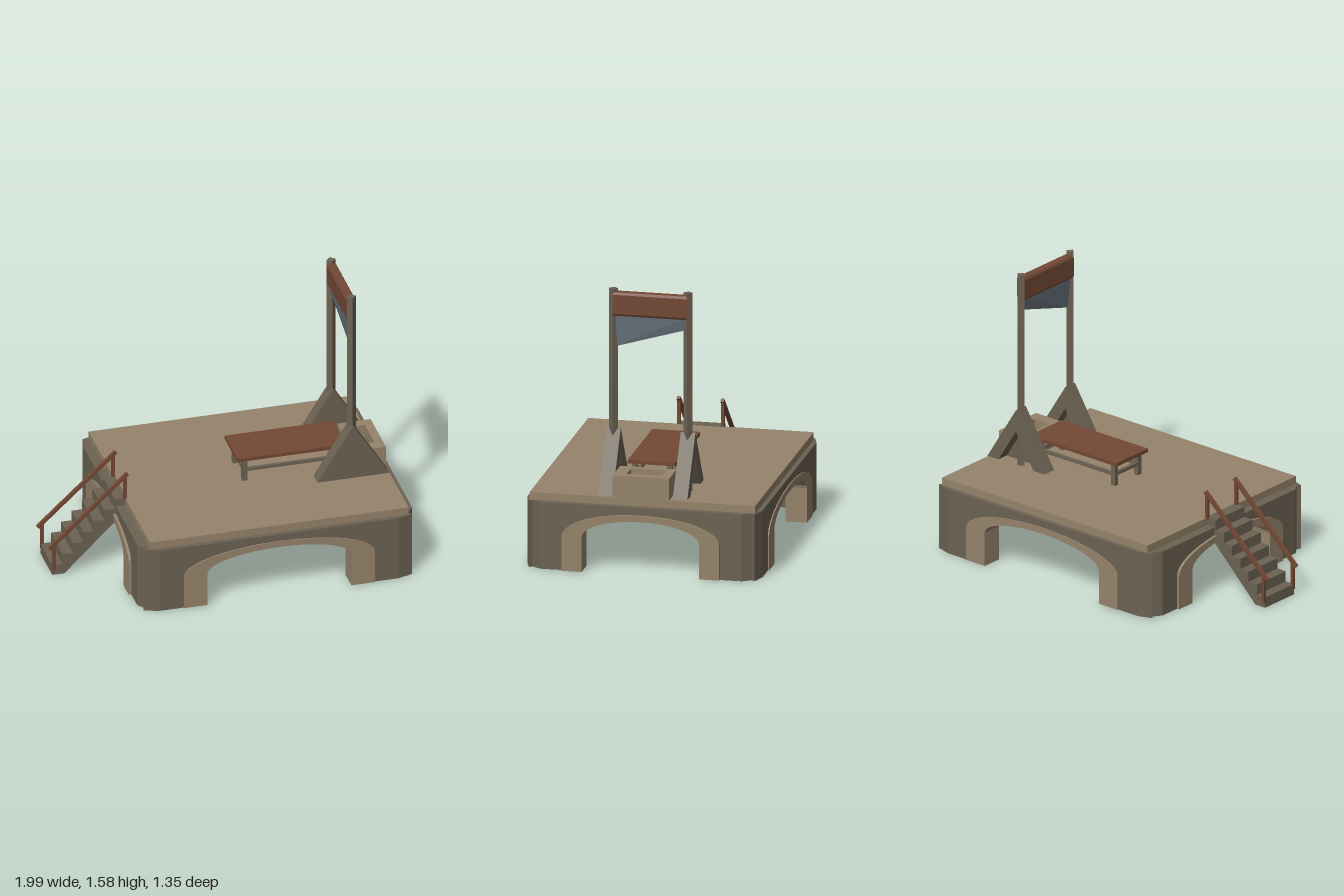
import * as THREE from 'three';

const mat = (name, color, side = THREE.FrontSide) => {
  const m = new THREE.MeshStandardMaterial({ color, side });
  m.name = name;
  return m;
};

export function createModel() {
  const root = new THREE.Group();
  root.name = 'scaffold';
  const stone = mat('grey stone', 0x6c6253);
  const tan = mat('tan stone', 0x95836b);
  const wood = mat('red wood', 0x734835);
  const steel = mat('blade steel', 0x66717a);

  const add = (parent, name, geo, material) => {
    const m = new THREE.Mesh(geo, material);
    m.name = name;
    parent.add(m);
    return m;
  };
  // box given by its extents
  const box = (parent, name, material, x0, x1, y0, y1, z0, z1) => {
    const m = add(parent, name, new THREE.BoxGeometry(x1 - x0, y1 - y0, z1 - z0), material);
    m.position.set((x0 + x1) / 2, (y0 + y1) / 2, (z0 + z1) / 2);
    return m;
  };
  const toShape = pts => new THREE.Shape(pts.map(p => new THREE.Vector2(p[0], p[1])));
  // outline in x-y, extruded from z0 to z1
  const slab = (pts, z0, z1) =>
    new THREE.ExtrudeGeometry(toShape(pts), { depth: z1 - z0, bevelEnabled: false }).translate(0, 0, z0);

  // deck
  box(root, 'deck', tan, -0.55, 0.945, 0.385, 0.43, -0.643, 0.643);

  // arch line from left foot over the crown to right foot
  const arch = (half, top, spring = 0.2) => {
    const pts = [[-half, 0]];
    for (let i = 0; i <= 20; i++) {
      const a = Math.PI * (1 - i / 20);
      pts.push([half * Math.cos(a), spring + (top - spring) * Math.sin(a)]);
    }
    pts.push([half, 0]);
    return pts;
  };

  // one arcade wall facing +z: pierced middle, bevelled ends, arch trim
  const wall = (name, o) => {
    const g = new THREE.Group();
    g.name = name;
    const inner = o.out - 0.11, H = 0.386;
    add(g, 'archedWall', slab([[-o.flat, H], [-o.flat, 0], ...arch(o.outer - 0.02, 0.338), [o.flat, 0], [o.flat, H]],
      inner, o.out), stone);
    for (const s of [-1, 1]) {
      const plan = [[s * o.flat, -o.out], [s * o.tip, -o.tipOut], [s * (o.flat + 0.01), -inner], [s * o.flat, -inner]];
      add(g, 'wallEnd', slab(plan, 0, H).rotateX(-Math.PI / 2), stone);
    }
    add(g, 'archTrim', slab([...arch(o.outer, 0.345), ...arch(o.inner, 0.31).reverse()],
      inner - 0.005, o.out + o.proud), tan);
    g.position.x = 0.19;
    g.rotation.y = o.turn;
    root.add(g);
  };
  const long = { out: 0.67, flat: 0.69, tip: 0.775, tipOut: 0.643, outer: 0.55, inner: 0.415, proud: 0.007 };
  const short = { out: 0.793, flat: 0.575, tip: 0.635, tipOut: 0.752, outer: 0.45, inner: 0.335, proud: 0.015 };
  wall('frontWall', { ...long, turn: 0 });
  wall('backWall', { ...long, turn: Math.PI });
  wall('leftWall', { ...short, turn: Math.PI / 2 });
  wall('rightWall', { ...short, turn: -Math.PI / 2 });

  // stairs
  const steps = [[-0.9, 0], [-0.55, 0.345], [-0.54, 0.431]];
  for (let i = 6; i >= 0; i--) {
    const x = -0.97 + i * 0.06, h = 0.0616;
    steps.push([x, (i + 1) * h], [x, i * h]);
  }
  add(root, 'stairs', slab(steps, -0.125, 0.125), stone);

  // handrails
  for (const s of [-1, 1]) {
    const z = s * 0.125;
    const rail = add(root, 'handrail', new THREE.BoxGeometry(Math.hypot(0.45, 0.415), 0.02, 0.02), wood);
    rail.position.set(-0.762, 0.378, z);
    rail.rotation.z = Math.atan2(0.415, 0.45);
    box(root, 'railPost', wood, -0.97, -0.952, 0.03, 0.19, z - 0.009, z + 0.009);
    box(root, 'railPost', wood, -0.56, -0.542, 0.42, 0.575, z - 0.009, z + 0.009);
  }

  // bench
  const bench = new THREE.Group();
  bench.name = 'bench';
  root.add(bench);
  box(bench, 'benchTop', wood, 0.097, 0.725, 0.565, 0.585, -0.14, 0.133);
  for (const x of [0.145, 0.69]) {
    for (const z of [-0.1, 0.1]) box(bench, 'benchLeg', stone, x - 0.014, x + 0.014, 0.43, 0.565, z - 0.014, z + 0.014);
    box(bench, 'crossRail', stone, x - 0.009, x + 0.009, 0.485, 0.505, -0.1, 0.1);
  }
  for (const z of [-0.1, 0.1]) box(bench, 'sideRail', stone, 0.145, 0.69, 0.486, 0.504, z - 0.009, z + 0.009);

  // open catch box
  const rim = toShape([[0.75, -0.17], [0.943, -0.17], [0.943, 0.152], [0.75, 0.152]]);
  rim.holes.push(new THREE.Path([[0.785, -0.1], [0.785, 0.1], [0.895, 0.1], [0.895, -0.1]].map(p => new THREE.Vector2(...p))));
  add(root, 'catchBox', new THREE.ExtrudeGeometry(rim, { depth: 0.126, bevelEnabled: false })
    .rotateX(-Math.PI / 2).translate(0, 0.43, 0), tan);

  // uprights with braced feet
  const cx = 0.732;
  for (const s of [-1, 1]) {
    const z = s * 0.213;
    const post = add(root, 'upright', new THREE.CylinderGeometry(0.026, 0.026, 1.15, 4).toNonIndexed(), stone);
    post.geometry.computeVertexNormals();
    post.position.set(cx, 1.005, z);
    const foot = [[0.525, 0.437], [0.605, 0.437], [cx, 0.64], [0.86, 0.437], [0.94, 0.437], [cx, 0.77]];
    add(root, 'footBrace', slab(foot, z - 0.042, z + 0.03), stone);
    add(root, 'footPlate', slab([[0.525, 0.437], [0.94, 0.437], [cx, 0.77]], z + 0.03, z + 0.042), stone);
  }

  // crossbeam with chamfered edges
  const beam = [[-0.027, -0.055], [-0.019, -0.068], [0.019, -0.068], [0.027, -0.055],
    [0.027, 0.055], [0.019, 0.068], [-0.019, 0.068], [-0.027, 0.055]];
  add(root, 'crossbeam', slab(beam, -0.213, 0.213), wood).position.set(cx, 1.493, 0);

  // slanted blade, tapering to its lower edge
  const blade = slab([[0.195, 1.245], [0.195, 1.43], [-0.195, 1.43], [-0.195, 1.36]], -0.016, 0.016)
    .rotateY(-Math.PI / 2);
  const p = blade.attributes.position;
  for (let i = 0; i < p.count; i++) if (p.getY(i) < 1.4) p.setX(i, p.getX(i) * 0.1);
  blade.computeVertexNormals();
  add(root, 'blade', blade, steel).position.x = cx;

  return root;
}
